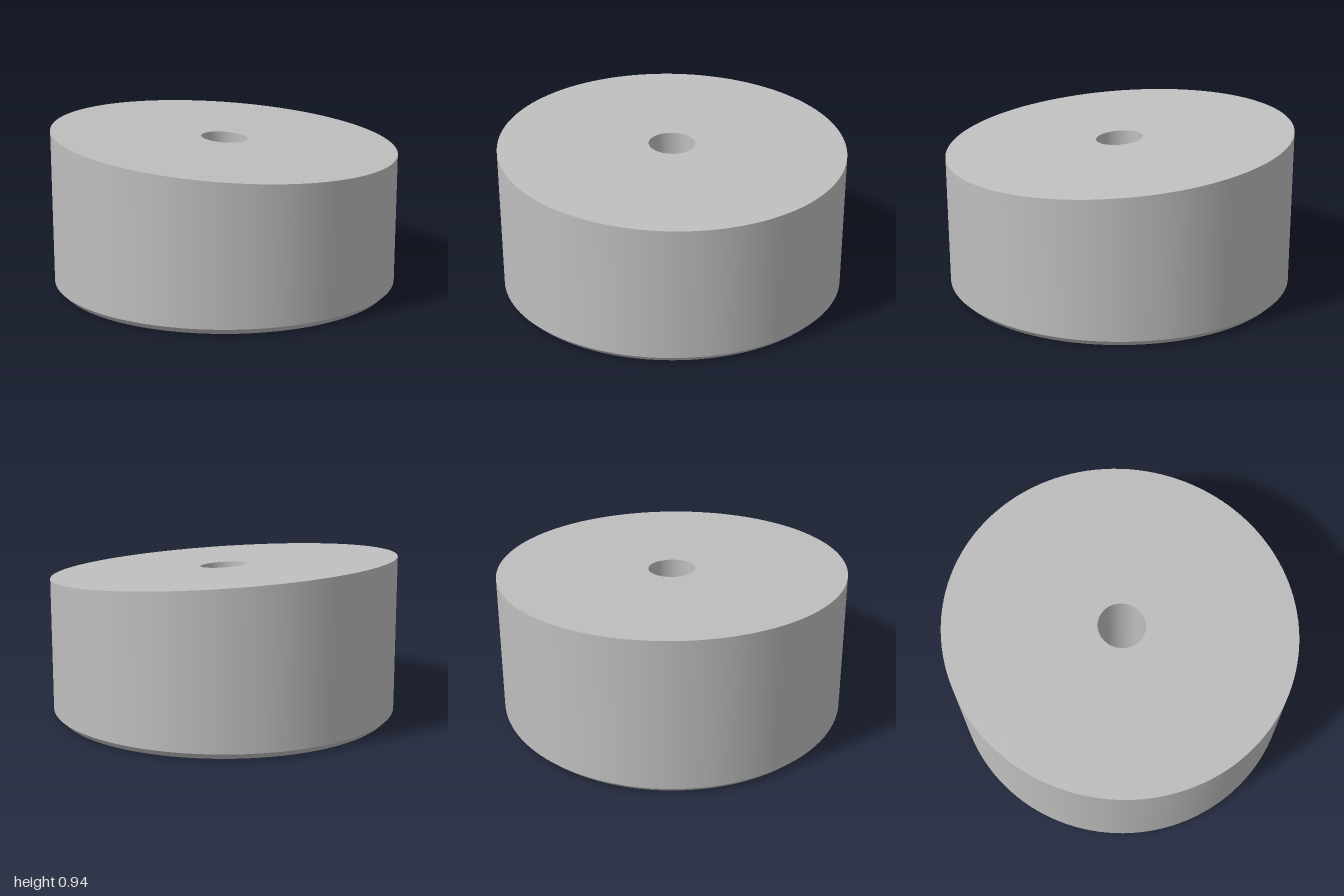
import * as THREE from 'three';

const SEGMENTS = 128;
const TOP = 0.86; // height of the sloped top at the axis
const SLOPE_X = -0.06, SLOPE_Z = -0.055;

export function createModel() {
  const group = new THREE.Group();
  group.name = 'slopedCylinder';
  const grey = new THREE.MeshStandardMaterial({ color: 0xbfbfbf });
  grey.name = 'grey';

  // One revolved band from (r0, y0) to (r1, y1); points at TOP are sheared onto the sloped plane
  function band(name, r0, y0, r1, y1) {
    const geo = new THREE.LatheGeometry([new THREE.Vector2(r0, y0), new THREE.Vector2(r1, y1)], SEGMENTS);
    const pos = geo.attributes.position, nor = geo.attributes.normal;
    const up = new THREE.Vector3(-SLOPE_X, 1, -SLOPE_Z).normalize();
    for (let i = 0; i < pos.count; i++) {
      if (pos.getY(i) < TOP - 0.001) continue;
      pos.setY(i, TOP + SLOPE_X * pos.getX(i) + SLOPE_Z * pos.getZ(i));
      if (y0 === y1) nor.setXYZ(i, up.x, up.y, up.z);
    }
    const mesh = new THREE.Mesh(geo, grey);
    mesh.name = name;
    group.add(mesh);
  }

  // Closed profile, one mesh per band so every edge stays sharp
  band('bottomFace', 0.17, 0, 0.965, 0);
  band('outerChamfer', 0.965, 0, 1, 0.035);
  band('outerWall', 1, 0.035, 1, TOP);
  band('slopedTop', 1, TOP, 0.135, TOP);
  band('holeWall', 0.135, TOP, 0.135, 0.035);
  band('holeChamfer', 0.135, 0.035, 0.17, 0);
  return group;
}
